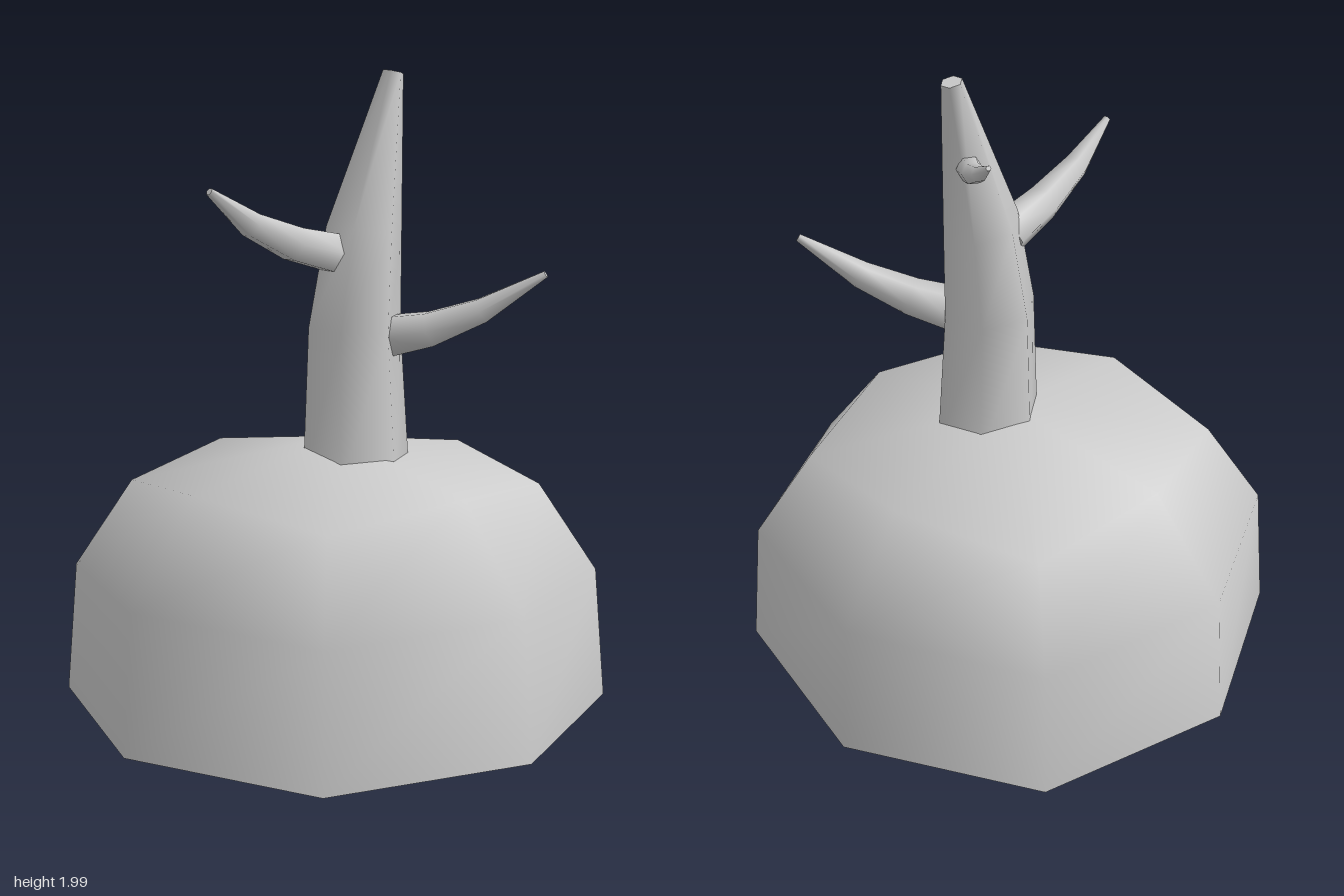
import * as THREE from 'three';

const material = new THREE.MeshStandardMaterial({ color: 0xcccccc });

// Skins rings of equal point count (bottom to top, counter-clockwise about the
// direction of travel) with smooth sides, and closes the ends with fans.
function skin(name, rings, startCentre, endCentre, smoothEnd = false) {
  const n = rings[0].length, pos = [], idx = [];
  const add = (p) => pos.push(p.x, p.y, p.z) / 3 - 1;
  rings.forEach((ring) => ring.forEach(add));
  for (let j = 0; j < rings.length - 1; j++) {
    for (let i = 0; i < n; i++) {
      const a = j * n + i, b = j * n + (i + 1) % n;
      idx.push(a, b, b + n, a, b + n, a + n);
    }
  }
  const cap = (ring, centre, flip, shared) => {
    const first = shared ? (rings.length - 1) * n : pos.length / 3;
    if (!shared) ring.forEach(add);
    const c = add(centre);
    for (let i = 0; i < n; i++) {
      const a = first + i, b = first + (i + 1) % n;
      if (flip) idx.push(c, b, a);
      else idx.push(c, a, b);
    }
  };
  cap(rings[0], startCentre, true, false);
  cap(rings[rings.length - 1], endCentre, false, smoothEnd);
  const geo = new THREE.BufferGeometry();
  geo.setAttribute('position', new THREE.Float32BufferAttribute(pos, 3));
  geo.setIndex(idx);
  geo.computeVertexNormals();
  const mesh = new THREE.Mesh(geo, material);
  mesh.name = name;
  return mesh;
}

// Tapered six-sided limb through stations [x, y, z, radius]
function limb(name, stations, reference) {
  const centres = stations.map(([x, y, z]) => new THREE.Vector3(x, y, z));
  const last = centres.length - 1;
  const rings = centres.map((c, k) => {
    const t = centres[Math.min(k + 1, last)].clone().sub(centres[Math.max(k - 1, 0)]).normalize();
    const a = reference
      ? reference.clone().addScaledVector(t, -reference.dot(t)).normalize()
      : new THREE.Vector3().crossVectors(t, new THREE.Vector3(0, 1, 0)).normalize();
    const b = new THREE.Vector3().crossVectors(t, a);
    return Array.from({ length: 6 }, (_, i) => {
      const angle = i * Math.PI / 3, r = stations[k][3];
      return c.clone().addScaledVector(a, r * Math.cos(angle)).addScaledVector(b, r * Math.sin(angle));
    });
  });
  return skin(name, rings, centres[0], centres[last]);
}

export function createModel() {
  const group = new THREE.Group();

  // Eight-sided mound: [axis radius, axis height, diagonal radius, diagonal height]
  const levels = [
    [0.85, 0, 0.872, 0],
    [0.815, 0.44, 0.836, 0.42],
    [0.57, 0.75, 0.65, 0.70],
  ];
  const rings = levels.map(([ra, ya, rd, yd]) => Array.from({ length: 8 }, (_, i) => {
    const angle = i * Math.PI / 4, r = i % 2 ? rd : ra;
    return new THREE.Vector3(r * Math.sin(angle), i % 2 ? yd : ya, r * Math.cos(angle));
  }));
  group.add(skin('mound', rings, new THREE.Vector3(), new THREE.Vector3(0, 0.85, 0), true));

  // Leaning trunk, sunk into the mound
  group.add(limb('trunk', [
    [0.02, 0.72, 0.08, 0.173],
    [0.025, 1.2, 0.066, 0.148],
    [0.06, 1.5, 0.07, 0.122],
    [0.166, 1.988, 0.087, 0.033],
  ], new THREE.Vector3(0, 0, 1)));

  // Upturned branches
  group.add(limb('rightBranch', [
    [-0.02, 1.435, 0.04, 0.07],
    [-0.2, 1.48, 0.032, 0.059],
    [-0.36, 1.548, 0.025, 0.042],
    [-0.515, 1.655, 0.02, 0.012],
  ]));
  group.add(limb('frontBranch', [
    [0.08, 1.18, 0.155, 0.072],
    [0.145, 1.21, 0.28, 0.06],
    [0.225, 1.275, 0.42, 0.043],
    [0.325, 1.393, 0.585, 0.012],
  ]));
  group.add(limb('backBranch', [
    [0.16, 1.73, 0.03, 0.04],
    [0.21, 1.75, -0.025, 0.034],
    [0.26, 1.787, -0.09, 0.024],
    [0.318, 1.85, -0.17, 0.008],
  ]));
  return group;
}
